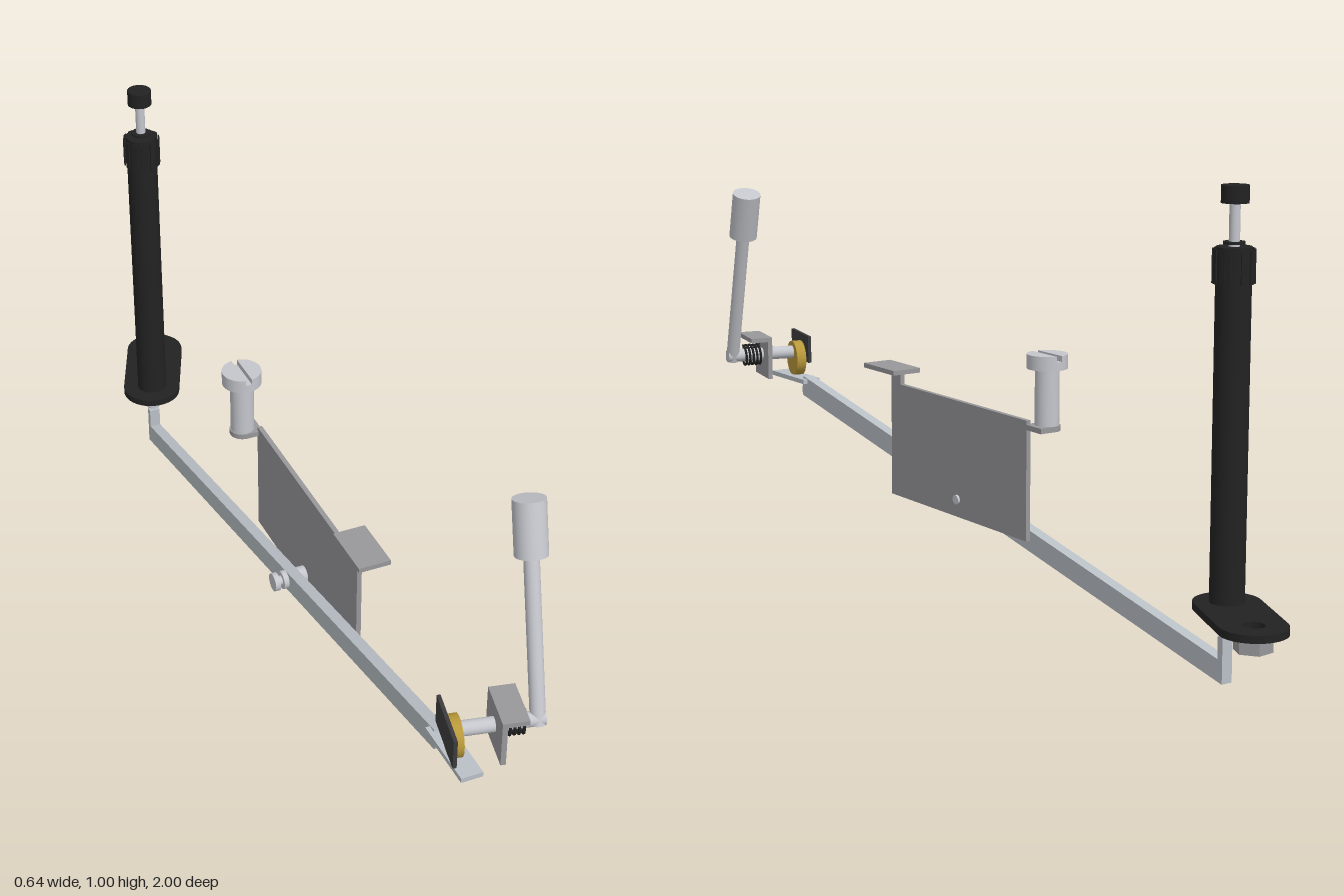
import * as THREE from 'three';

const mat = (name, color) => {
  const m = new THREE.MeshStandardMaterial({ color });
  m.name = name;
  return m;
};

export function createModel() {
  const black = mat('black plastic', 0x222222);
  const dark = mat('dark rubber', 0x3c3c3e);
  const steel = mat('light steel', 0xc4c6cc);
  const arm = mat('arm steel', 0xb9c0c6);
  const sheet = mat('sheet metal', 0x98989b);
  const brass = mat('brass', 0xb8983a);

  const model = new THREE.Group();
  const add = (parent, name, geo, material, x = 0, y = 0, z = 0) => {
    const m = new THREE.Mesh(geo, material);
    m.name = name;
    m.position.set(x, y, z);
    parent.add(m);
    return m;
  };
  const box = (w, h, d) => new THREE.BoxGeometry(w, h, d);
  // upright cylinder between two heights
  const post = (parent, name, material, x, z, r, y0, y1, sides = 32) =>
    add(parent, name, new THREE.CylinderGeometry(r, r, y1 - y0, sides), material, x, (y0 + y1) / 2, z);
  // cylinder lying along x
  const pin = (parent, name, material, x0, x1, y, z, r) =>
    add(parent, name, new THREE.CylinderGeometry(r, r, x1 - x0, 28).rotateZ(Math.PI / 2), material, (x0 + x1) / 2, y, z);
  // cylinder between two points
  const rod = (parent, name, material, a, b, r) => {
    const d = b.clone().sub(a);
    const m = add(parent, name, new THREE.CylinderGeometry(r, r, d.length(), 28), material);
    m.position.copy(a).add(b).multiplyScalar(0.5);
    m.quaternion.setFromUnitVectors(new THREE.Vector3(0, 1, 0), d.normalize());
  };
  // flat outline drawn in x and z, hanging down from its top face
  const slab = (shape, depth) =>
    new THREE.ExtrudeGeometry(shape, { depth, bevelEnabled: false, curveSegments: 24 }).rotateX(Math.PI / 2);
  const hole = (x, y, r) => new THREE.Path().absarc(x, y, r, 0, Math.PI * 2, true);

  // --- plunger column at the back
  const column = new THREE.Group();
  column.name = 'plungerColumn';
  column.position.set(-0.247, 0, -0.762);
  model.add(column);
  post(column, 'columnTube', black, 0, 0, 0.036, 0.165, 0.885);
  for (let i = 0; i < 12; i++) {
    const a = (i / 12) * Math.PI * 2;
    add(column, 'gripRib', box(0.003, 0.068, 0.012), black, 0.0415 * Math.cos(a), 0.847, 0.0415 * Math.sin(a)).rotation.y = -a;
  }
  post(column, 'plungerWasher', black, 0, 0, 0.022, 0.89, 0.895);
  post(column, 'plungerRod', steel, 0, 0, 0.011, 0.88, 0.975);
  post(column, 'plungerKnob', black, 0, 0, 0.028, 0.97, 1.005);
  post(column, 'lowerPin', steel, 0, 0, 0.016, 0.107, 0.16);

  // --- rounded foot plate with a through hole and hollow nut
  const foot = new THREE.Group();
  foot.name = 'footPlate';
  foot.position.set(-0.249, 0, -0.76);
  foot.rotation.y = -0.188;
  model.add(foot);
  const reach = -0.171;
  const stadium = new THREE.Shape();
  stadium.absarc(0, 0, 0.07, 0, Math.PI, false);
  stadium.absarc(0, reach, 0.07, Math.PI, Math.PI * 2, false);
  stadium.closePath();
  stadium.holes.push(hole(0, reach, 0.023));
  add(foot, 'plate', slab(stadium, 0.016), black, 0, 0.17, 0);
  const hex = new THREE.Shape();
  for (let i = 0; i < 6; i++) {
    const a = (i / 6) * Math.PI * 2 + Math.PI / 6;
    hex[i ? 'lineTo' : 'moveTo'](0.04 * Math.cos(a), 0.04 * Math.sin(a));
  }
  hex.closePath();
  hex.holes.push(hole(0, 0, 0.023));
  add(foot, 'nut', slab(hex, 0.036), sheet, 0, 0.155, reach);

  // --- sloping lever arm and everything aligned with it
  const lever = new THREE.Group();
  lever.name = 'leverAssembly';
  lever.position.x = -0.081;
  lever.rotation.y = 0.214;
  model.add(lever);
  const profile = new THREE.Shape([
    [-0.785, 0], [0.873, 0.325], [0.878, 0.337], [0.87, 0.374], [-0.77, 0.05], [-0.77, 0.098], [-0.785, 0.098],
  ].map(([z, y]) => new THREE.Vector2(z, y)));
  const armGeo = new THREE.ExtrudeGeometry(profile, { depth: 0.026, bevelEnabled: false });
  add(lever, 'leverArm', armGeo.translate(0, 0, -0.013).rotateY(-Math.PI / 2), arm);
  add(lever, 'frontPad', box(0.048, 0.011, 0.16), arm, 0.001, 0.363, 0.931);

  // pivot through arm and side plate
  pin(lever, 'pivotPin', steel, -0.045, 0.049, 0.205, 0.122, 0.011);
  pin(lever, 'pivotHead', steel, -0.046, -0.034, 0.205, 0.122, 0.021);
  pin(lever, 'pivotCollar', steel, -0.025, -0.013, 0.205, 0.122, 0.021);
  pin(lever, 'pivotSpacer', steel, 0.013, 0.033, 0.205, 0.122, 0.02);

  // side plate with its bent tabs
  add(lever, 'sidePlate', box(0.011, 0.272, 0.552), sheet, 0.038, 0.3, 0.126);
  add(lever, 'frontTab', box(0.011, 0.04, 0.04), sheet, 0.038, 0.45, 0.382);
  add(lever, 'frontFlange', box(0.074, 0.011, 0.132), sheet, 0.0445, 0.471, 0.398);
  add(lever, 'rearTab', box(0.038, 0.012, 0.06), sheet, 0.024, 0.421, -0.173);
  post(lever, 'rearTabEnd', sheet, 0.005, -0.173, 0.03, 0.415, 0.427);

  // slotted thumb screw
  const screw = new THREE.Group();
  screw.name = 'slottedScrew';
  screw.position.set(0.005, 0, -0.173);
  lever.add(screw);
  post(screw, 'screwShank', steel, 0, 0, 0.027, 0.427, 0.555);
  post(screw, 'screwHead', steel, 0, 0, 0.045, 0.553, 0.572);
  const a = Math.asin(0.007 / 0.045);
  for (const turn of [-Math.PI / 2, Math.PI / 2]) {
    const half = new THREE.Shape();
    half.absarc(0, 0, 0.045, turn + a, turn + Math.PI - a, false);
    half.closePath();
    add(screw, 'screwHeadHalf', slab(half, 0.014), steel, 0, 0.585, 0);
  }

  // --- crank with cam, stop plate, bracket and spring
  const crank = new THREE.Group();
  crank.name = 'crank';
  model.add(crank);
  const sy = 0.427, sz = 0.915;
  add(crank, 'stopPlate', box(0.008, 0.068, 0.138), dark, 0.095, 0.439, 0.93);
  pin(crank, 'cam', brass, 0.101, 0.125, 0.411, sz, 0.044);
  pin(crank, 'shaft', steel, 0.099, 0.297, sy, sz, 0.016);
  add(crank, 'bracketWall', box(0.011, 0.105, 0.112), sheet, 0.2, 0.423, 0.917);
  add(crank, 'bracketFlange', box(0.055, 0.011, 0.112), sheet, 0.222, 0.471, 0.917);
  const coil = [];
  for (let i = 0; i <= 80; i++) {
    const t = (i / 80) * Math.PI * 10;
    coil.push(new THREE.Vector3(0.209 + 0.047 * i / 80, sy + 0.025 * Math.cos(t), sz + 0.025 * Math.sin(t)));
  }
  add(crank, 'spring', new THREE.TubeGeometry(new THREE.CatmullRomCurve3(coil), 160, 0.003, 8), black);

  const along = (y) => new THREE.Vector3(0.283, y, sz - (y - sy) * 0.35);
  rod(crank, 'handleRod', steel, along(0.415), along(0.76), 0.016);
  rod(crank, 'handleGrip', steel, along(0.746), along(0.855), 0.034);

  return model;
}
